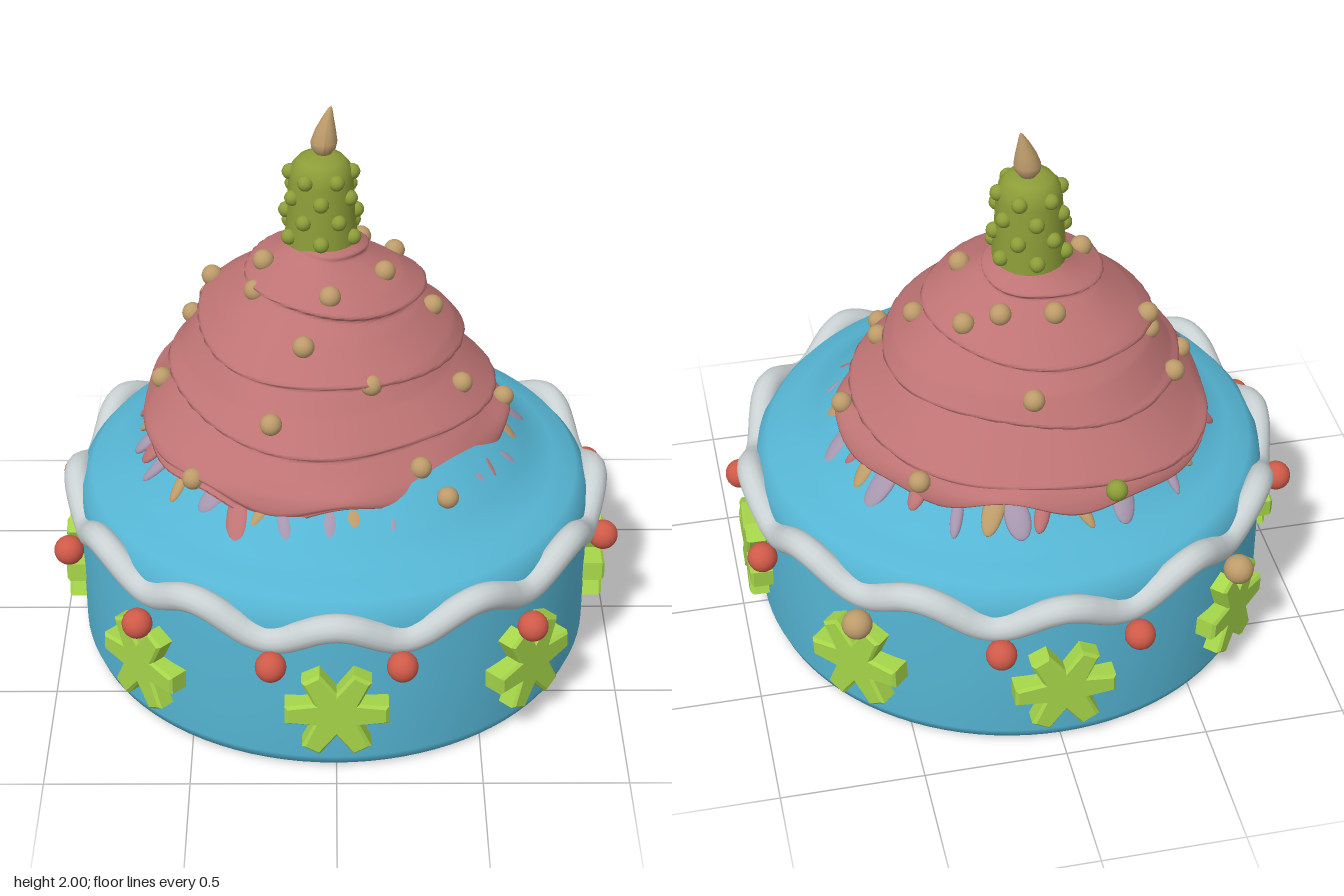
import * as THREE from 'three';

const material = (name, color) => {
  const m = new THREE.MeshStandardMaterial({ color });
  m.name = name;
  return m;
};
const blue = material('blue icing', 0x55b5d3);
const pink = material('pink frosting', 0xbe7373);
const tan = material('tan pearl', 0xbd9b6a);
const lavender = material('lavender drip', 0xa596ae);
const lime = material('lime star', 0xa5d549);
const olive = material('olive candle', 0x8c9d38);
const white = material('white piping', 0xc9d1d3);
const red = material('red berry', 0xcf5a48);

const TAU = Math.PI * 2;
const vec2s = (list) => list.map(([x, y]) => new THREE.Vector2(x, y));

function add(parent, name, geometry, mat, x = 0, y = 0, z = 0) {
  const mesh = new THREE.Mesh(geometry, mat);
  mesh.name = name;
  mesh.position.set(x, y, z);
  parent.add(mesh);
  return mesh;
}

// Frosting silhouette: [height, radius], bottom to top
const SWIRL = [[0.83, 0.65], [0.9, 0.63], [1.0, 0.56], [1.1, 0.49], [1.2, 0.45],
  [1.3, 0.375], [1.4, 0.27], [1.47, 0.17], [1.53, 0.1]];

// Point on the spiral frosting at angle a (0 = front) and height fraction t
function swirlPoint(a, t, inset = 0) {
  const s = t * (SWIRL.length - 1);
  const i = Math.min(Math.floor(s), SWIRL.length - 2);
  const k = s - i;
  const y = THREE.MathUtils.lerp(SWIRL[i][0], SWIRL[i + 1][0], k);
  let r = THREE.MathUtils.lerp(SWIRL[i][1], SWIRL[i + 1][1], k);
  // each layer steps out at its lower lip, then recedes upward
  const turn = 4.3 * t + a / TAU + 0.03 * Math.sin(3 * a + 8 * t);
  const f = turn - Math.floor(turn);
  const lip = f < 0.14 ? f / 0.14 : 1 - (f - 0.14) / 0.86;
  const fade = Math.min(1, t * 8) * Math.min(1, (1 - t) * 4);
  r += (lip - 0.5) * 0.065 * fade;
  r += (0.018 * Math.cos(3 * a + 1) + 0.012 * Math.sin(5 * a + 9 * t)) * (1 - t) - inset;
  const hem = (0.025 * Math.sin(5 * a) + 0.018 * Math.sin(9 * a + 1)) * Math.max(0, 1 - t * 6);
  return new THREE.Vector3(-0.05 + r * Math.sin(a), y + hem, -0.05 - 0.07 * t + r * Math.cos(a));
}

function swirlGeometry() {
  const cols = 120, rows = 110, pos = [], index = [];
  for (let i = 0; i <= rows; i++) {
    // the first row is tucked under the hem
    const t = Math.max(0, (i - 1) / (rows - 1));
    for (let j = 0; j < cols; j++) {
      pos.push(...swirlPoint((j / cols) * TAU, t, i === 0 ? 0.1 : 0).toArray());
    }
  }
  for (let i = 0; i < rows; i++) {
    for (let j = 0; j < cols; j++) {
      const a = i * cols + j, b = i * cols + (j + 1) % cols;
      index.push(a, b, b + cols, a, b + cols, a + cols);
    }
  }
  const g = new THREE.BufferGeometry();
  g.setAttribute('position', new THREE.Float32BufferAttribute(pos, 3));
  g.setIndex(index);
  g.computeVertexNormals();
  return g;
}

// Height of the frosting above a point in plan
function swirlHeight(x, z) {
  let best = Infinity, y = 0;
  for (let t = 0; t <= 1; t += 0.01) {
    const cz = -0.05 - 0.07 * t;
    const p = swirlPoint(Math.atan2(x + 0.05, z - cz), t);
    const d = Math.hypot(p.x - x, p.z - z);
    if (d < best) { best = d; y = p.y; }
  }
  return y;
}

function starGeometry() {
  const shape = new THREE.Shape();
  const to = (r, deg, first) => {
    const a = THREE.MathUtils.degToRad(deg);
    shape[first ? 'moveTo' : 'lineTo'](r * Math.cos(a), r * Math.sin(a));
  };
  for (let k = 0; k < 6; k++) {
    to(0.076, k * 60 - 30, k === 0);
    to(0.168, k * 60 - 9);
    to(0.168, k * 60 + 9);
  }
  return new THREE.ExtrudeGeometry(shape, {
    depth: 0.08, bevelEnabled: true, bevelSize: 0.01, bevelThickness: 0.01, bevelSegments: 1,
  });
}

export function createModel() {
  const model = new THREE.Group();
  model.name = 'cake';

  // Round cake with a sloped mound on top
  const cake = vec2s([[0, 0], [0.87, 0], [0.905, 0.012], [0.92, 0.05], [0.92, 0.3], [0.92, 0.56],
    [0.908, 0.63], [0.87, 0.675], [0.79, 0.7], [0.74, 0.72], [0.68, 0.765], [0.55, 0.885],
    [0.46, 0.93], [0, 0.95]]);
  add(model, 'cakeBase', new THREE.LatheGeometry(cake, 96), blue, -0.005, 0, 0);

  // Wavy piped garland
  const path = [];
  for (let i = 0; i < 96; i++) {
    const a = (i / 96) * TAU, wave = Math.cos(12 * a);
    const r = 0.922 + 0.012 * wave;
    path.push(new THREE.Vector3(r * Math.sin(a), 0.583 + 0.045 * wave + 0.015 * Math.cos(4 * a + Math.PI), r * Math.cos(a)));
  }
  const curve = new THREE.CatmullRomCurve3(path, true);
  add(model, 'garland', new THREE.TubeGeometry(curve, 288, 0.049, 14, true), white);

  // Berries under each dip of the garland, two of them tan
  const berry = new THREE.SphereGeometry(0.053, 20, 14);
  for (let k = 0; k < 12; k++) {
    const a = ((k + 0.5) / 12) * TAU;
    const diagonal = k === 4 || k === 7;
    add(model, 'berry', berry, diagonal ? tan : red, 0.975 * Math.sin(a), 0.465, 0.975 * Math.cos(a));
  }
  // Shift the berries nearest the diagonals to the middle of their side
  model.children.filter((m) => m.name === 'berry').forEach((m, k) => {
    const spots = [[0.22, 0.95], [0.67, 0.73], [0.96, 0.19], [0.94, -0.29], [0.67, -0.7], [0.22, -0.95],
      [-0.26, -0.95], [-0.68, -0.7], [-0.96, -0.23], [-0.95, 0.28], [-0.68, 0.71], [-0.22, 0.95]];
    m.position.x = spots[k][0];
    m.position.z = spots[k][1];
  });

  // Eight six-armed stars around the side
  const star = starGeometry();
  for (let k = 0; k < 8; k++) {
    const holder = new THREE.Group();
    holder.name = 'starHolder';
    holder.rotation.y = (k / 8) * TAU;
    add(holder, 'star', star, lime, 0, 0.275, 0.888).rotation.z = 0.08 * Math.sin(k * 2.3);
    model.add(holder);
  }

  // Frosting swirl
  add(model, 'frostingSwirl', swirlGeometry(), pink);

  // Flat drips on the slope under the frosting
  const drop = new THREE.SphereGeometry(1, 14, 10);
  const dripColours = [lavender, tan, lavender, pink, tan, lavender, pink];
  for (let k = 0; k < 34; k++) {
    const a = (k / 34) * TAU + 0.06 * Math.sin(k * 5.1);
    const holder = new THREE.Group();
    holder.name = 'dripHolder';
    holder.position.set(-0.02, 0, -0.02);
    holder.rotation.y = a;
    const r = 0.635 + 0.02 * Math.sin(k * 3.7);
    const drip = add(holder, 'drip', drop, dripColours[k % 7], 0, 0.805 - (r - 0.635) * 0.92, r);
    drip.rotation.set(-0.82, 0, 0.35 * Math.sin(k * 2.9));
    drip.scale.set(0.034 + 0.012 * Math.sin(k * 1.7), 0.085 + 0.02 * Math.sin(k * 4.3), 0.018);
    model.add(holder);
  }

  // Pearls resting on the frosting, placed in plan
  const pearl = new THREE.SphereGeometry(0.038, 16, 12);
  const pearls = [[0.02, -0.53], [0.42, -0.57], [-0.09, -0.35], [0.09, -0.32], [0.21, -0.29],
    [-0.52, -0.33], [-0.44, -0.25], [-0.28, 0.03], [-0.02, 0.15], [0.34, -0.06], [0.6, -0.04],
    [0.44, 0.12], [-0.11, 0.28], [0.12, 0.33], [0.29, 0.43], [-0.49, 0.43], [-0.22, 0.43],
    [-0.55, -0.04], [-0.62, -0.06], [-0.25, -0.05], [0.38, 0.51], [-0.45, -0.24], [0.17, -0.02]];
  for (const [x, z] of pearls) add(model, 'pearl', pearl, tan, x, swirlHeight(x, z) + 0.008, z);
  add(model, 'olivePearl', pearl, olive, -0.23, 0.9, -0.7);

  // Knobbly candle
  const candle = new THREE.Group();
  candle.name = 'candle';
  candle.position.set(-0.05, 0, -0.125);
  const wax = vec2s([[0.128, 1.46], [0.126, 1.53], [0.118, 1.64], [0.112, 1.74], [0.104, 1.785],
    [0.08, 1.815], [0.045, 1.828], [0, 1.83]]);
  add(candle, 'candleBody', new THREE.LatheGeometry(wax, 32), olive);
  const knob = new THREE.SphereGeometry(0.028, 12, 10);
  for (let row = 0; row < 4; row++) {
    for (let k = 0; k < 6; k++) {
      const a = ((k + (row % 2) / 2) / 6) * TAU, r = 0.128 - row * 0.007;
      add(candle, 'candleKnob', knob, olive, r * Math.sin(a), 1.545 + row * 0.073, r * Math.cos(a));
    }
  }
  model.add(candle);

  // Flame with a leaning tip
  const teardrop = vec2s([[0, 0], [0.026, 0.008], [0.043, 0.032], [0.046, 0.055], [0.036, 0.095],
    [0.02, 0.14], [0.008, 0.17], [0, 0.182]]);
  const flame = new THREE.LatheGeometry(teardrop, 20);
  const p = flame.attributes.position;
  for (let i = 0; i < p.count; i++) {
    const lean = (p.getY(i) / 0.182) ** 2;
    p.setX(i, p.getX(i) + 0.027 * lean);
    p.setZ(i, p.getZ(i) - 0.01 * lean);
  }
  flame.computeVertexNormals();
  add(model, 'flame', flame, tan, -0.042, 1.818, -0.138);

  return model;
}
